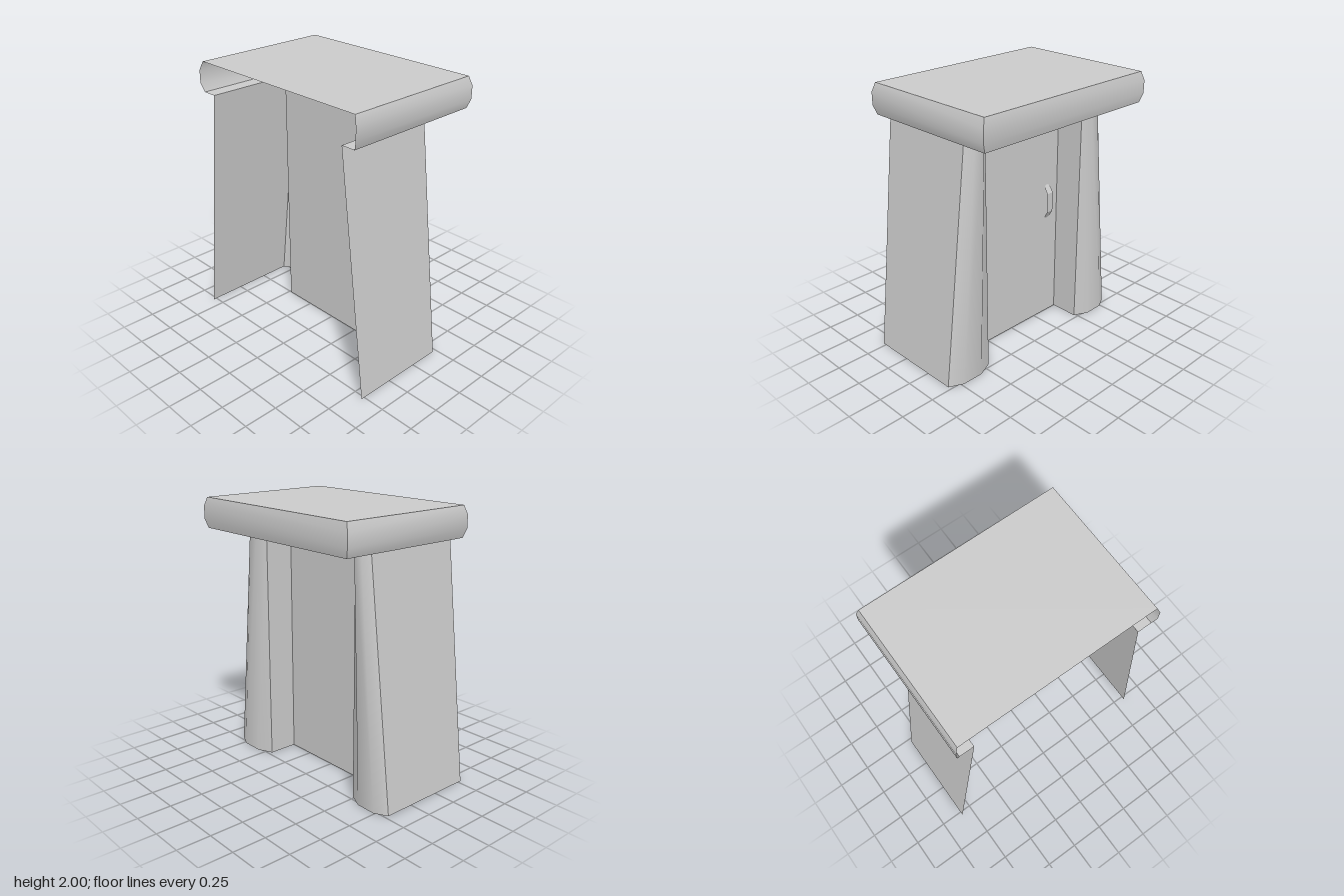
import * as THREE from 'three';

const material = new THREE.MeshStandardMaterial({ color: 0xcccccc, side: THREE.DoubleSide });

// Smooth sheet through rows of [x, y, z] points of equal length
function sheet(rows) {
  const n = rows[0].length;
  const index = [];
  for (let r = 0; r < rows.length - 1; r++) {
    for (let i = 0; i < n - 1; i++) {
      const a = r * n + i, b = a + 1, c = a + n, d = c + 1;
      index.push(a, b, d, a, d, c);
    }
  }
  const g = new THREE.BufferGeometry();
  g.setAttribute('position', new THREE.Float32BufferAttribute(rows.flat(2), 3));
  g.setIndex(index);
  g.computeVertexNormals();
  return g;
}

function add(parent, name, geometry) {
  const mesh = new THREE.Mesh(geometry, material);
  mesh.name = name;
  parent.add(mesh);
}

const WALL_TOP = 1.78, BACK = -0.527, DOOR_X = 0;
const JAMB = { 1: 0.452, '-1': -0.485 };
const FOOT_Z = 0.835, NECK_Z = 0.63;

// Cross-section of the bulging pillar front at one height
function pillarFront(side, y, outer) {
  const profile = [[0.222, 0], [0.272, 0.27], [0.272, 0.7], [0.222, 1]];
  return profile.map(([x, f]) => [x, y, THREE.MathUtils.lerp(side * outer, JAMB[side], f)]);
}

// Hollow side pillar: sloping outer wall, bulging front and door jamb
function createPillar(side) {
  const group = new THREE.Group();
  group.name = side > 0 ? 'frontPillar' : 'backPillar';
  const levels = [[0, FOOT_Z], [WALL_TOP, NECK_Z]];
  add(group, 'outerWall', sheet(levels.map(([y, z]) => [[BACK, y, side * z], [0.222, y, side * z]])));
  add(group, 'bulgingFront', sheet(levels.map(([y, z]) => pillarFront(side, y, z))));
  add(group, 'doorJamb', sheet(levels.map(([y]) => [[0.222, y, JAMB[side]], [DOOR_X, y, JAMB[side]]])));
  return group;
}

// Roof slab, open at the back, with a rounded rim on three sides
function createRoof() {
  const group = new THREE.Group();
  group.name = 'roof';
  const rim = [[2, 0.527, 0.737], [1.937, 0.543, 0.76], [1.844, 0.543, 0.76], [WALL_TOP, 0.527, 0.737]];

  const top = new THREE.PlaneGeometry(1.054, 1.474);
  top.rotateX(-Math.PI / 2);
  top.translate(0, 2, 0);
  add(group, 'roofTop', top);

  add(group, 'rimOverDoor', sheet(rim.map(([y, x, z]) => [[x, y, z], [x, y, -z]])));
  for (const s of [1, -1]) {
    add(group, 'sideRim', sheet(rim.map(([y, x, z]) => [[-x, y, s * z], [x, y, s * z]])));
  }

  // Underside fills only the space between the rim and the walls
  const wall = (s) => [[BACK, 0, s * NECK_Z], ...pillarFront(s, 0, NECK_Z), [DOOR_X, 0, JAMB[s]]]
    .map(([x, , z]) => new THREE.Vector2(x, z));
  const outline = [
    new THREE.Vector2(BACK, -0.737), new THREE.Vector2(0.527, -0.737),
    new THREE.Vector2(0.527, 0.737), new THREE.Vector2(BACK, 0.737),
    ...wall(1), ...wall(-1).reverse(),
  ];
  const under = new THREE.ShapeGeometry(new THREE.Shape(outline));
  under.rotateX(Math.PI / 2);
  under.translate(0, WALL_TOP, 0);
  add(group, 'roofUnderside', under);
  return group;
}

// Flat strap handle: a straight grip with two bent, rounded ends
function createHandle() {
  const group = new THREE.Group();
  group.name = 'doorHandle';
  const middle = 0.967, z = -0.372, halfWidth = 0.029, reach = 0.036;
  const row = (x, y, w) => [[DOOR_X + x, y, z + w], [DOOR_X + x, y, z - w]];
  add(group, 'grip', sheet([-1, 1].map((s) => row(reach, middle + s * 0.075, halfWidth))));
  for (const s of [1, -1]) {
    // Height above the grip and width, narrowing in a round tip
    const steps = [[0, 1], [0.035, 1], [0.05, 0.85], [0.059, 0.5], [0.062, 0.2]];
    add(group, 'bentEnd', sheet(steps.map(([h, w]) => (
      row(reach * (1 - h / 0.062), middle + s * (0.075 + h), halfWidth * w)))));
  }
  return group;
}

export function createModel() {
  const model = new THREE.Group();
  model.name = 'booth';
  model.add(createPillar(1), createPillar(-1), createRoof(), createHandle());
  add(model, 'door', sheet([0, WALL_TOP].map((y) => [[DOOR_X, y, JAMB[1]], [DOOR_X, y, JAMB[-1]]])));
  return model;
}
